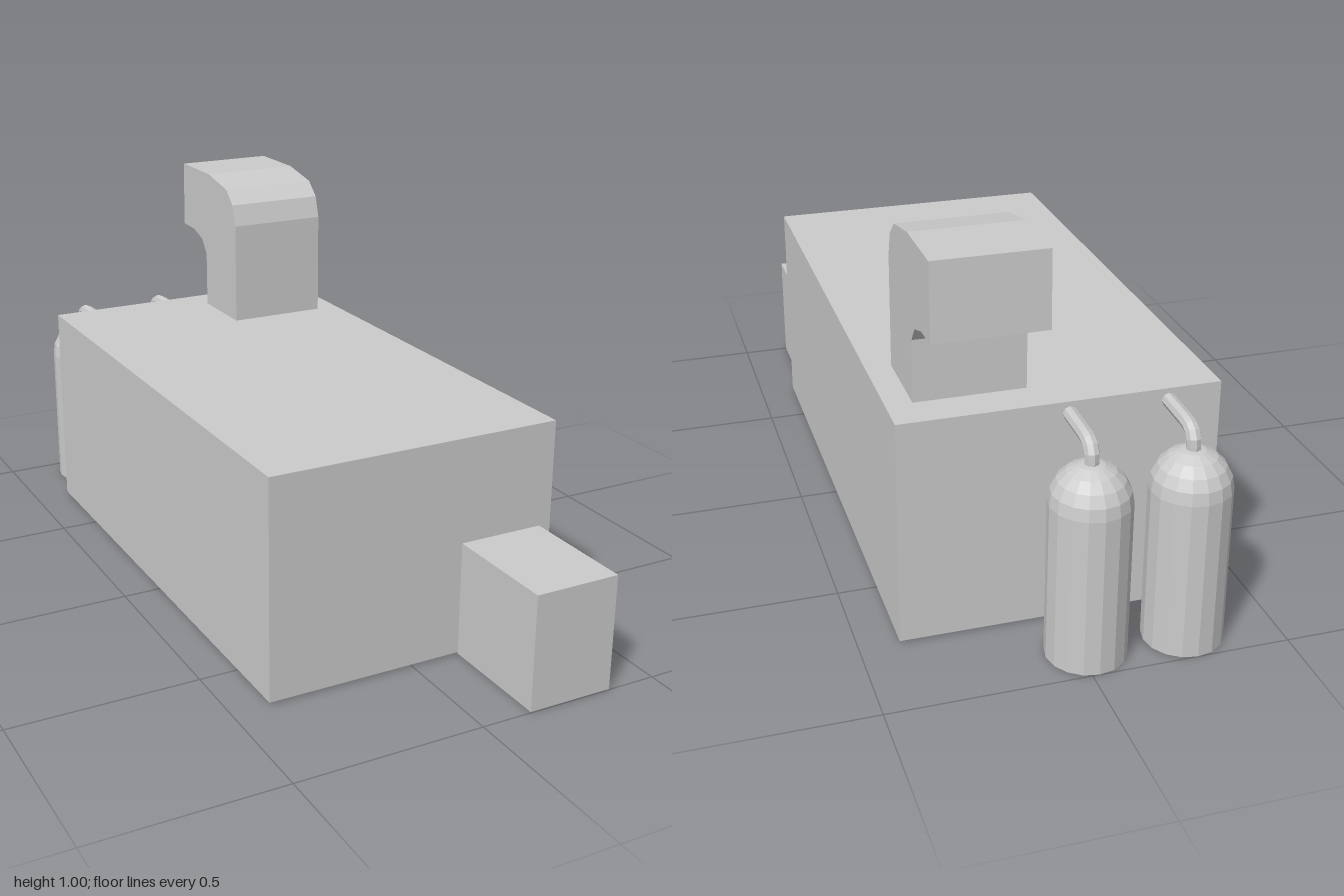
import * as THREE from 'three';

const material = new THREE.MeshStandardMaterial({
  color: 0xcccccc, flatShading: true, side: THREE.DoubleSide,
});

function add(parent, name, geometry) {
  const mesh = new THREE.Mesh(geometry, material);
  mesh.name = name;
  parent.add(mesh);
  return mesh;
}

// Box between two corners, without the faces listed in skip
// (face order: 0 +x, 1 -x, 2 +y, 3 -y, 4 +z, 5 -z)
function openBox(min, max, skip) {
  const size = max.map((v, i) => v - min[i]);
  const geometry = new THREE.BoxGeometry(...size);
  const index = Array.from(geometry.index.array);
  geometry.setIndex(index.filter((_, i) => !skip.includes(Math.floor(i / 6))));
  geometry.translate(...max.map((v, i) => (v + min[i]) / 2));
  return geometry;
}

// Bent rectangular duct: side profile in (z, y), extruded along x
function ductGeometry(x0, x1) {
  const profile = [
    [-0.445, 0.591], [-0.445, 0.88], [-0.463, 0.94], [-0.505, 0.979],
    [-0.63, 1.003], [-0.815, 1.003], [-0.822, 0.812], [-0.745, 0.81],
    [-0.685, 0.79], [-0.655, 0.75], [-0.655, 0.591],
  ];
  const shape = new THREE.Shape(profile.map(([z, y]) => new THREE.Vector2(-z, y)));
  const geometry = new THREE.ExtrudeGeometry(shape, { depth: x1 - x0, bevelEnabled: false });
  geometry.rotateY(Math.PI / 2);
  geometry.translate(x0, 0, 0);
  return geometry;
}

// Gas tank with a domed top, open underneath, and its bent pipe to the wall
function createTank(x) {
  const tank = new THREE.Group();
  tank.name = 'gasTank';
  tank.position.set(x, 0, -0.9);
  const radius = 0.1, shoulder = 0.41, rings = 5;
  const profile = [new THREE.Vector2(radius, 0)];
  for (let i = 0; i <= rings; i++) {
    const a = (i / rings) * Math.PI / 2;
    profile.push(new THREE.Vector2(
      i === rings ? 0 : radius * Math.cos(a), shoulder + radius * Math.sin(a)));
  }
  add(tank, 'tankBody', new THREE.LatheGeometry(profile, 16));

  const path = new THREE.CurvePath();
  const v = (y, z) => new THREE.Vector3(0, y, z);
  path.add(new THREE.LineCurve3(v(0.5, 0), v(0.525, 0)));
  path.add(new THREE.QuadraticBezierCurve3(v(0.525, 0), v(0.555, 0), v(0.557, 0.05)));
  path.add(new THREE.LineCurve3(v(0.557, 0.05), v(0.56, 0.15)));
  add(tank, 'tankPipe', new THREE.TubeGeometry(path, 12, 0.018, 8));
  return tank;
}

export function createModel() {
  const model = new THREE.Group();
  model.name = 'machineUnit';

  // Main housing, open underneath
  add(model, 'housing', openBox([-0.4, 0.006, -0.75], [0.4, 0.59, 0.685], [3]));
  // Small box on the front, open underneath and against the housing
  add(model, 'frontBox', openBox([0.135, 0.002, 0.685], [0.367, 0.31, 1], [3, 5]));
  // Exhaust duct on the roof, bending to the back
  add(model, 'exhaustDuct', ductGeometry(0.057, 0.335));
  // Two tanks behind the housing
  for (const x of [-0.266, -0.018]) model.add(createTank(x));

  return model;
}
